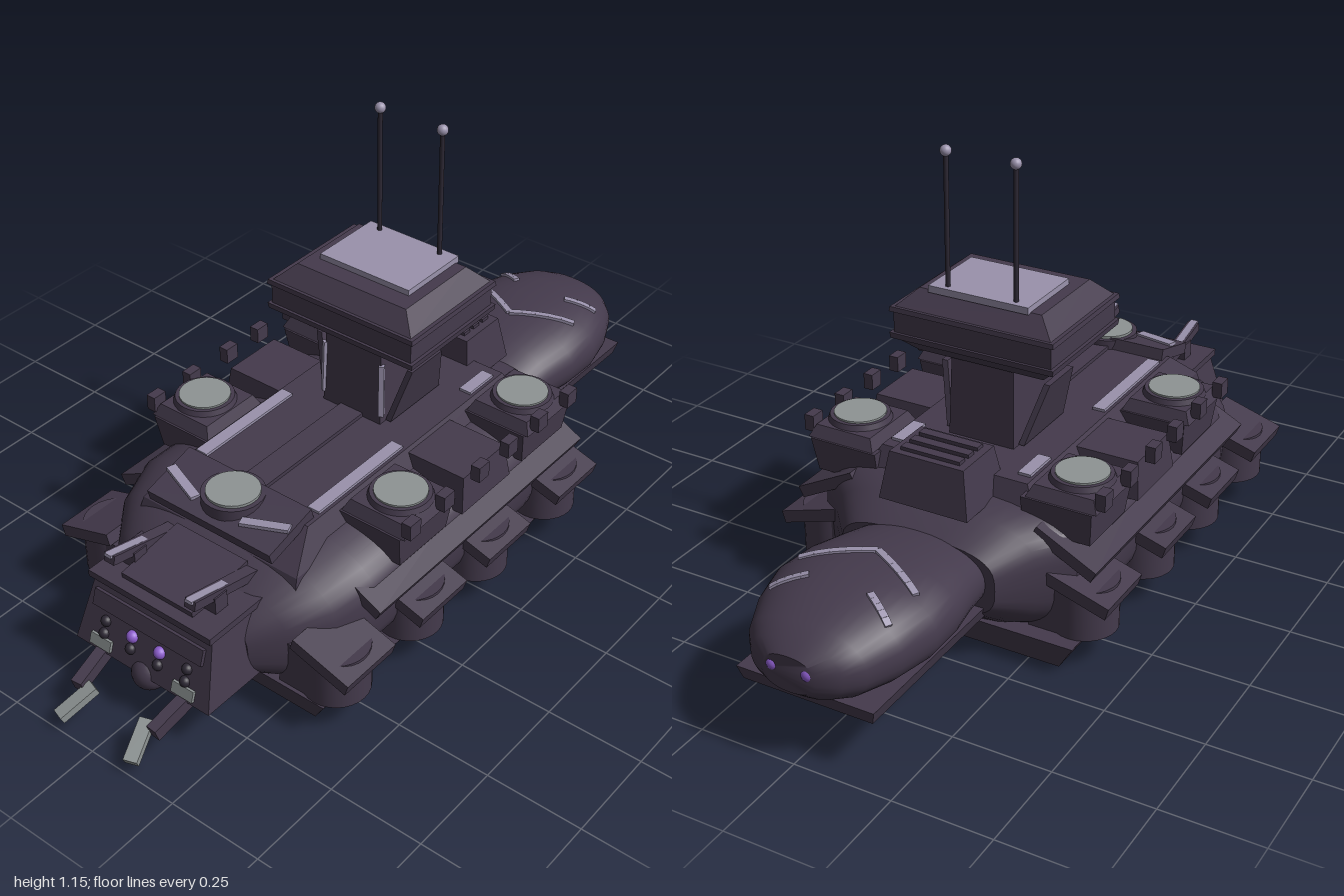
import * as THREE from 'three';
import { toCreasedNormals } from 'three/addons/utils/BufferGeometryUtils.js';

const mat = (name, color) => Object.assign(new THREE.MeshStandardMaterial({ color }), { name });

export function createModel() {
  const root = new THREE.Group();
  const hullMat = mat('dark violet hull', 0x443a4c);
  const trimMat = mat('pale violet trim', 0x9a92ac);
  const silver = mat('silver', 0x8e9494);
  const glow = mat('purple light', 0x8f5fd0);
  const dark = mat('dark metal', 0x2d2834);

  const add = (name, geo, m, x = 0, y = 0, z = 0) => {
    const mesh = new THREE.Mesh(geo, m);
    mesh.name = name;
    mesh.position.set(x, y, z);
    root.add(mesh);
    return mesh;
  };
  const box = (name, m, w, h, d, x, y, z) => add(name, new THREE.BoxGeometry(w, h, d), m, x, y, z);
  const disc = (name, m, r, h, x, y, z, r2 = r) =>
    add(name, new THREE.CylinderGeometry(r, r2, h, 28), m, x, y, z);

  // Tapered block: [x0, x1, z0, z1] rectangles at heights y0 and y1
  const taper = (name, m, y0, lo, y1, hi) => {
    const g = new THREE.BoxGeometry(1, 1, 1).toNonIndexed();
    const p = g.attributes.position;
    for (let i = 0; i < p.count; i++) {
      const r = p.getY(i) > 0 ? hi : lo;
      p.setXYZ(i, r[p.getX(i) > 0 ? 1 : 0], p.getY(i) > 0 ? y1 : y0, r[p.getZ(i) > 0 ? 3 : 2]);
    }
    g.computeVertexNormals();
    return add(name, g, m);
  };
  // Flat bar running from a to b, w wide and t thick
  const bar = (name, m, a, b, w, t) => {
    const A = new THREE.Vector3(...a), B = new THREE.Vector3(...b);
    const mesh = box(name, m, w, t, A.distanceTo(B), 0, 0, 0);
    mesh.position.copy(A).add(B).multiplyScalar(0.5);
    mesh.lookAt(B);
    return mesh;
  };
  // Rounded body lofted through rings [z, half width, bottom, top]
  const loft = (name, m, rings, power, crease) => {
    const n = 40, pos = [], idx = [];
    const bend = v => Math.sign(v) * Math.abs(v) ** (2 / power);
    for (const [z, w, y0, y1] of rings)
      for (let j = 0; j < n; j++) {
        const a = j / n * Math.PI * 2;
        pos.push(w * bend(Math.cos(a)), (y0 + y1) / 2 + (y1 - y0) / 2 * bend(Math.sin(a)), z);
      }
    const last = (rings.length - 1) * n;
    for (let i = 0; i < rings.length - 1; i++)
      for (let j = 0; j < n; j++) {
        const a = i * n + j, b = i * n + (j + 1) % n;
        idx.push(a, b, a + n, b, b + n, a + n);
      }
    for (let j = 1; j < n - 1; j++) idx.push(0, j + 1, j, last, last + j, last + j + 1);
    const g = new THREE.BufferGeometry();
    g.setAttribute('position', new THREE.Float32BufferAttribute(pos, 3));
    g.setIndex(idx);
    return add(name, toCreasedNormals(g, crease), m);
  };

  // Main hull and keel
  taper('keel', hullMat, 0, [-0.33, 0.33, -0.4, 0.6], 0.08, [-0.38, 0.38, -0.43, 0.63]);
  loft('hull', hullMat, [
    [-0.49, 0.21, 0.13, 0.31], [-0.41, 0.28, 0.07, 0.355], [-0.35, 0.35, 0.05, 0.37],
    [-0.2, 0.375, 0.05, 0.38], [0.42, 0.375, 0.05, 0.38], [0.53, 0.34, 0.05, 0.35],
    [0.62, 0.27, 0.06, 0.31], [0.68, 0.2, 0.09, 0.26]], 3.2, 0.6);

  // Upper deck with raised spine
  taper('deckBase', hullMat, 0.28, [-0.25, 0.25, -0.36, 0.57], 0.34, [-0.24, 0.24, -0.35, 0.55]);
  taper('deck', hullMat, 0.34, [-0.24, 0.24, -0.35, 0.55], 0.415, [-0.2, 0.2, -0.32, 0.46]);
  box('deckSpine', hullMat, 0.07, 0.02, 0.42, 0, 0.415, 0.25);
  bar('frontVisor', hullMat, [0, 0.43, 0.43], [0, 0.39, 0.58], 0.38, 0.03);
  disc('frontHatchRim', hullMat, 0.078, 0.03, 0, 0.425, 0.49);
  disc('frontHatch', silver, 0.066, 0.008, 0, 0.443, 0.49);

  // Rear hatch box with louvres
  taper('rearBox', hullMat, 0.36, [-0.12, 0.12, -0.46, -0.28], 0.48, [-0.1, 0.1, -0.44, -0.3]);
  for (let i = 0; i < 3; i++) box('louvre', hullMat, 0.16, 0.01, 0.025, 0, 0.484, -0.41 + i * 0.04);

  // Rear rounded head
  const headRings = [[-1, 0.07, 0.19, 0.28], [-0.97, 0.12, 0.165, 0.305], [-0.93, 0.155, 0.15, 0.325],
    [-0.85, 0.192, 0.14, 0.348], [-0.75, 0.218, 0.14, 0.357], [-0.65, 0.214, 0.14, 0.35],
    [-0.56, 0.195, 0.14, 0.335], [-0.46, 0.18, 0.14, 0.31]];
  loft('rearHead', hullMat, headRings, 2.3, 0.7);
  taper('rearHeadBase', hullMat, 0.13, [-0.17, 0.17, -0.94, -0.44], 0.165, [-0.18, 0.18, -0.95, -0.44]);
  const onHead = (x, z) => {
    const i = Math.max(1, headRings.findIndex(r => r[0] >= z));
    const a = headRings[i - 1], b = headRings[i], t = (z - a[0]) / (b[0] - a[0]);
    const [w, y0, y1] = [1, 2, 3].map(k => a[k] + (b[k] - a[k]) * t);
    const y = (y0 + y1) / 2 + (y1 - y0) / 2 * (1 - Math.abs(x / w) ** 2.3) ** (1 / 2.3);
    return [x, y + 0.002, z];
  };
  const headStripe = (x0, z0, x1, z1) => {
    const at = t => onHead(x0 + (x1 - x0) * t, z0 + (z1 - z0) * t);
    for (let i = 0; i < 5; i++) bar('headStripe', trimMat, at(i / 5), at((i + 1) / 5), 0.017, 0.009);
  };

  // Tower and its faceted cabin
  taper('tower', hullMat, 0.4, [-0.09, 0.09, -0.19, 0.05], 0.63, [-0.085, 0.085, -0.18, 0.04]);
  const rect = (w, d) => [-w, w, -0.07 - d, -0.07 + d];
  taper('cabinBottom', hullMat, 0.62, rect(0.17, 0.12), 0.66, rect(0.212, 0.16));
  taper('cabinLipLow', hullMat, 0.66, rect(0.22, 0.168), 0.675, rect(0.222, 0.17));
  taper('cabinBand', hullMat, 0.67, rect(0.213, 0.163), 0.735, rect(0.213, 0.163));
  taper('cabinLipHigh', hullMat, 0.73, rect(0.222, 0.17), 0.742, rect(0.22, 0.168));
  taper('cabinRoof', hullMat, 0.742, rect(0.21, 0.16), 0.785, rect(0.165, 0.12));
  box('roofPlate', trimMat, 0.27, 0.018, 0.2, 0, 0.791, -0.1);

  // Front snout with lamp panel
  taper('snout', hullMat, 0.11, [-0.21, 0.21, 0.6, 0.83], 0.295, [-0.18, 0.18, 0.58, 0.77]);
  box('snoutBrow', hullMat, 0.38, 0.018, 0.2, 0, 0.291, 0.69);
  const face = y => 0.83 - (y - 0.11) * 0.324;
  bar('snoutPanel', hullMat, [0, 0.215, face(0.215)], [0, 0.255, face(0.255)], 0.34, 0.02);
  bar('snoutCover', hullMat, [0, 0.33, 0.57], [0, 0.305, 0.76], 0.22, 0.02);
  add('snoutBall', new THREE.SphereGeometry(0.045, 20, 14), hullMat, 0, 0.1, 0.8);

  for (const s of [-1, 1]) {
    // Deck strips and chevrons
    box('deckStrip', trimMat, 0.034, 0.012, 0.32, s * 0.175, 0.416, 0.25);
    box('rearDeckStrip', trimMat, 0.034, 0.012, 0.1, s * 0.175, 0.416, -0.24);
    bar('visorChevron', trimMat, [s * 0.185, 0.43, 0.505], [s * 0.07, 0.419, 0.545], 0.025, 0.009);
    bar('snoutChevron', trimMat, [s * 0.1, 0.31, 0.725], [s * 0.01, 0.31, 0.745], 0.02, 0.009);
    headStripe(s * 0.155, -0.735, 0, -0.647);
    headStripe(s * 0.155, -0.845, s * 0.08, -0.8);
    add('rearEye', new THREE.SphereGeometry(0.02, 16, 12), glow, s * 0.045, 0.245, -0.985);

    // Tower side fins and front trim
    const fin = taper('towerFin', hullMat, 0.42, [s * 0.1 - 0.008, s * 0.1 + 0.008, -0.17, 0.03],
      0.57, [s * 0.142 - 0.008, s * 0.142 + 0.008, -0.12, 0.0]);
    fin.castShadow = false;
    bar('towerTrim', trimMat, [s * 0.09, 0.44, 0.045], [s * 0.087, 0.585, 0.04], 0.014, 0.014);

    // Antennas
    disc('antenna', dark, 0.006, 0.34, s * 0.092, 0.965, -0.18);
    add('antennaTip', new THREE.SphereGeometry(0.014, 16, 12), trimMat, s * 0.092, 1.136, -0.18);

    // Long sloping skirt
    bar('skirt', hullMat, [s * 0.405, 0.255, 0.04], [s * 0.25, 0.335, 0.04], 0.84, 0.03);

    // Wheel pods under sloping guards
    for (const z of [0.545, 0.265, -0.005, -0.31]) {
      disc('pod', hullMat, 0.083, 0.13, s * 0.35, 0.145, z);
      box('podBase', hullMat, 0.12, 0.13, 0.15, s * 0.3, 0.145, z);
      bar('podGuard', hullMat, [s * 0.45, 0.18, z], [s * 0.29, 0.23, z], 0.175, 0.032);
    }

    // Turret sponsons and the block between them
    const span = (a, b) => s > 0 ? [a, b] : [-b, -a];
    for (const z of [-0.25, 0.25]) {
      taper('sponson', hullMat, 0.31, [...span(0.2, 0.375), z - 0.09, z + 0.09],
        0.4, [...span(0.2, 0.385), z - 0.105, z + 0.105]);
      taper('turretPlate', hullMat, 0.4, [...span(0.21, 0.395), z - 0.1, z + 0.1],
        0.43, [...span(0.225, 0.38), z - 0.085, z + 0.085]);
      disc('turretRim', hullMat, 0.075, 0.014, s * 0.308, 0.437, z, 0.08);
      disc('turretDisc', silver, 0.065, 0.008, s * 0.308, 0.445, z);
    }
    taper('middleBlock', hullMat, 0.31, [...span(0.2, 0.38), -0.1, 0.1], 0.405, [...span(0.2, 0.37), -0.085, 0.085]);
    for (const z of [-0.32, -0.19, -0.06, 0.06, 0.2, 0.33])
      box('sideKnob', hullMat, 0.026, 0.042, 0.04, s * 0.399, 0.43, z);

    // Lamps, vents and raised rails on the snout
    const lamp = (name, m, x, y, r) =>
      add(name, new THREE.SphereGeometry(r, 16, 12), m, s * x, y, face(y));
    lamp('glowLamp', glow, 0.043, 0.187, 0.016);
    lamp('outerLamp', dark, 0.128, 0.187, 0.014);
    lamp('lowerOuterLamp', dark, 0.128, 0.156, 0.014);
    lamp('lowerInnerLamp', dark, 0.043, 0.156, 0.014);
    bar('vent', silver, [s * 0.13, 0.12, face(0.12)], [s * 0.13, 0.147, face(0.147)], 0.065, 0.016);
    bar('rail', hullMat, [s * 0.125, 0.315, 0.57], [s * 0.125, 0.362, 0.78], 0.032, 0.024);
    bar('railTrim', trimMat, [s * 0.125, 0.329, 0.6], [s * 0.125, 0.373, 0.785], 0.02, 0.008);
    box('railPost', hullMat, 0.04, 0.05, 0.04, s * 0.125, 0.32, 0.7);

    // Front arms with claws
    bar('arm', hullMat, [s * 0.135, 0.12, 0.76], [s * 0.12, 0.07, 0.92], 0.03, 0.035);
    bar('claw', silver, [s * 0.085, 0.075, 0.9], [s * 0.115, 0.03, 0.99], 0.035, 0.02);
  }
  return root;
}
